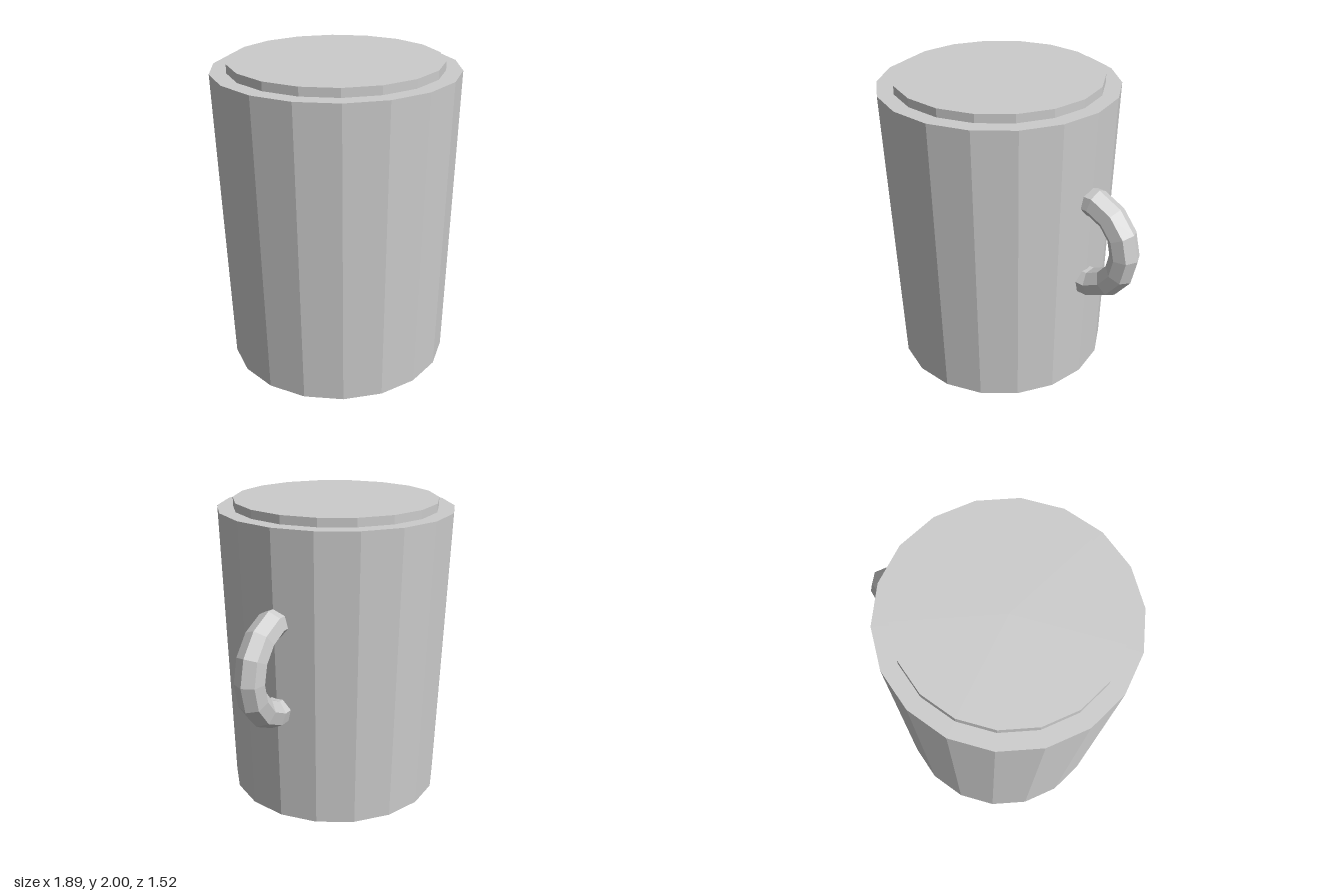
import * as THREE from 'three';

export function createModel() {
  const model = new THREE.Group();
  const grey = new THREE.MeshStandardMaterial({ color: 0xcccccc, flatShading: true });
  grey.name = 'light grey';

  const SIDES = 18;
  const CENTRE_X = -0.17;

  function add(name, geometry, x, y) {
    const mesh = new THREE.Mesh(geometry, grey);
    mesh.name = name;
    mesh.position.set(x, y, 0);
    model.add(mesh);
    return mesh;
  }

  // Faceted drum with a corner pointing along +x
  function drum(topRadius, bottomRadius, height) {
    return new THREE.CylinderGeometry(topRadius, bottomRadius, height, SIDES, 1, false, Math.PI / 2);
  }

  // Tapered mug body and the thin raised disc on top
  const bodyHeight = 1.945;
  add('body', drum(0.773, 0.717, bodyHeight), CENTRE_X, bodyHeight / 2);
  const lidHeight = 2 - bodyHeight;
  add('lid', drum(0.67, 0.67, lidHeight), CENTRE_X, bodyHeight + lidHeight / 2);

  // Seven-sided ring handle, its ends buried in the body wall
  const step = (Math.PI * 2) / 14;
  const ring = new THREE.TorusGeometry(0.3, 0.095, 7, 8, step * 8);
  ring.rotateZ(-step * 4);
  add('handle', ring, 0.548, 1.065);

  return model;
}
